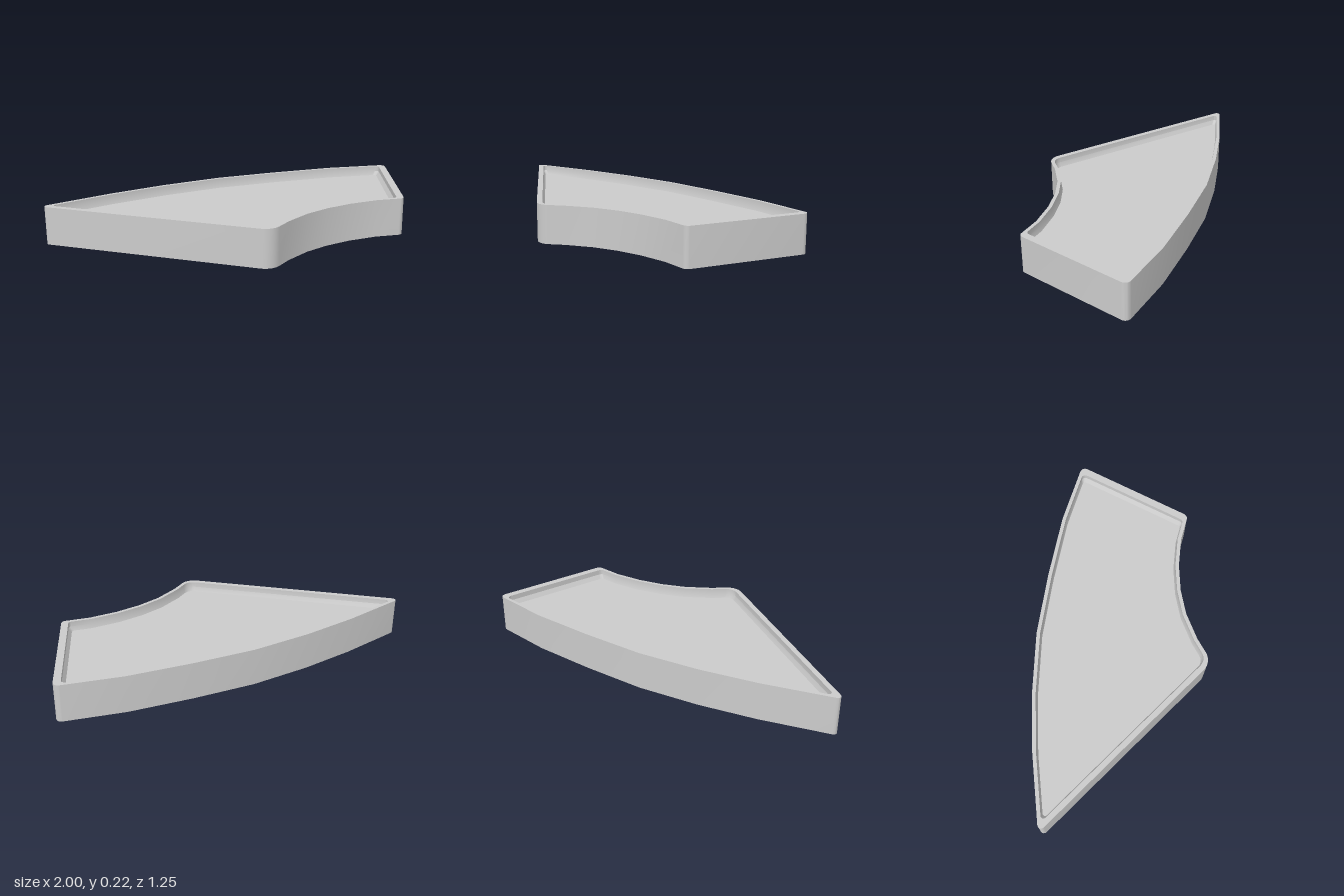
import * as THREE from 'three';
import { toCreasedNormals } from 'three/addons/utils/BufferGeometryUtils.js';

// Plan of the tray as [x, z, corner radius]: back arc, right edge, front arc, left edge
const PLAN = [
  [-1.019, -0.63, 0.02], [-0.6, -0.565, 0], [-0.285, -0.495, 0], [0.05, -0.393, 0],
  [0.378, -0.249, 0], [0.704, -0.088, 0], [1.016, 0.108, 0.03],
  [0.54, 0.63, 0.03], [0.4, 0.548, 0], [0.245, 0.49, 0], [0.095, 0.457, 0],
  [-0.05, 0.447, 0], [-0.21, 0.465, 0], [-0.36, 0.503, 0.085],
];
const N = PLAN.length;
// Rim width along each edge of the plan
const rimWidth = (i) => (i < 6 ? 0.02 : i === 6 ? 0.04 : i < 13 ? 0.02 : 0.03);

// Plan moved inward by the rim width times k, with its corners rounded
function outline(k) {
  const normal = (i) => {
    const [ax, az] = PLAN[i], [bx, bz] = PLAN[(i + 1) % N];
    const l = Math.hypot(bx - ax, bz - az);
    return [-(bz - az) / l, (bx - ax) / l];
  };
  const pts = PLAN.map(([x, z], i) => {
    const j = (i + N - 1) % N, a = normal(j), b = normal(i);
    const da = rimWidth(j) * k, db = rimWidth(i) * k, det = a[0] * b[1] - a[1] * b[0];
    return new THREE.Vector2(x + (da * b[1] - db * a[1]) / det, z + (a[0] * db - b[0] * da) / det);
  });
  const out = [];
  pts.forEach((p, i) => {
    const r = PLAN[i][2] * (1 - 0.25 * k);
    if (!r) return out.push(p);
    const u = pts[(i + N - 1) % N].clone().sub(p).normalize();
    const v = pts[(i + 1) % N].clone().sub(p).normalize();
    const half = Math.acos(u.dot(v)) / 2;
    const centre = u.clone().add(v).normalize().multiplyScalar(r / Math.sin(half)).add(p);
    const start = u.multiplyScalar(r / Math.tan(half)).add(p).sub(centre);
    const steps = 8, turn = Math.PI - 2 * half;
    for (let s = 0; s <= steps; s++) {
      out.push(start.clone().rotateAround(new THREE.Vector2(), (turn * s) / steps).add(centre));
    }
  });
  return out;
}

// Skin through stacked loops, closed by a cap at each end
function loft(loops) {
  const n = loops[0].pts.length, position = [], index = [];
  for (const { pts, y } of loops) for (const p of pts) position.push(p.x, y, p.y);
  for (let k = 0; k + 1 < loops.length; k++) {
    for (let i = 0; i < n; i++) {
      const a0 = k * n + i, a1 = k * n + ((i + 1) % n), b0 = a0 + n, b1 = a1 + n;
      index.push(a1, a0, b0, a1, b0, b1);
    }
  }
  const cap = (k, up) => {
    const pts = loops[k].pts;
    for (const [a, b, c] of THREE.ShapeUtils.triangulateShape(pts, [])) {
      const clockwise = THREE.ShapeUtils.area([pts[a], pts[b], pts[c]]) > 0;
      index.push(k * n + a, ...(clockwise === up ? [k * n + c, k * n + b] : [k * n + b, k * n + c]));
    }
  };
  cap(0, false);
  cap(loops.length - 1, true);
  const geometry = new THREE.BufferGeometry();
  geometry.setAttribute('position', new THREE.Float32BufferAttribute(position, 3));
  geometry.setIndex(index);
  return toCreasedNormals(geometry, Math.PI / 7);
}

export function createModel() {
  const group = new THREE.Group();
  const outer = outline(0), inner = outline(1), floor = outline(1.4);
  // Outer wall, flat rim, inner wall, sloped foot and recessed floor
  const tray = new THREE.Mesh(
    loft([
      { pts: outer, y: 0 }, { pts: outer, y: 0.215 },
      { pts: inner, y: 0.215 }, { pts: inner, y: 0.185 }, { pts: floor, y: 0.16 },
    ]),
    new THREE.MeshStandardMaterial({ color: 0xcccccc }),
  );
  tray.name = 'curvedTray';
  group.add(tray);
  return group;
}
